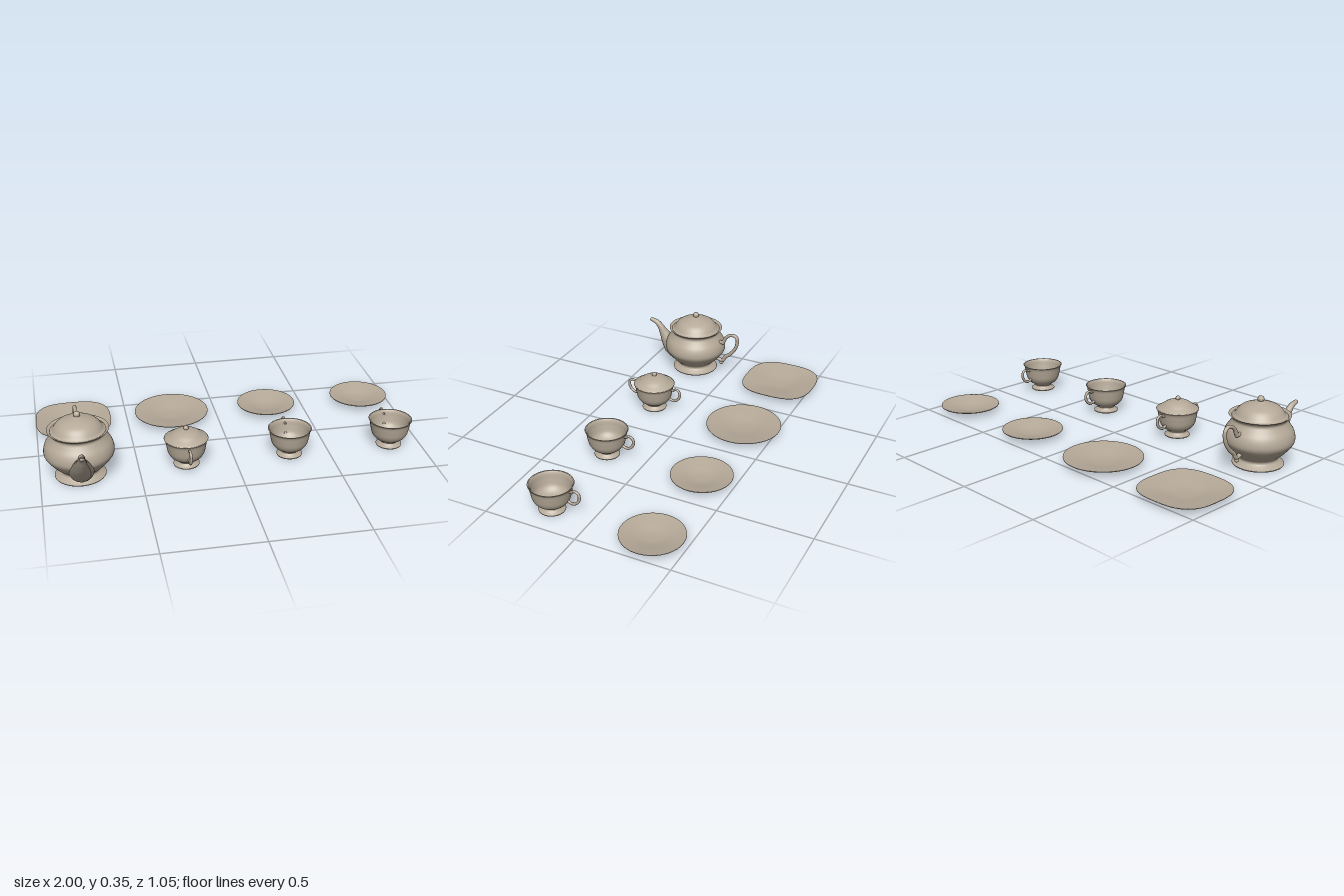
import * as THREE from 'three';

const porcelain = new THREE.MeshStandardMaterial({ color: 0xb5a998, side: THREE.DoubleSide });
porcelain.name = 'porcelain';

function part(name, geometry) {
  const mesh = new THREE.Mesh(geometry, porcelain);
  mesh.name = name;
  return mesh;
}

// Turned solid: each run of [radius, y] points is smoothed, corners stay sharp between runs
function turned(runs, sides = 64) {
  const points = [];
  for (const run of runs) {
    const v = run.map(([r, y]) => new THREE.Vector2(r, y));
    const smooth = v.length > 2 ? new THREE.SplineCurve(v).getPoints((v.length - 1) * 6) : v;
    for (const p of smooth) {
      p.x = Math.max(0, p.x);
      if (!points.length || points.at(-1).distanceTo(p) > 1e-5) points.push(p);
    }
  }
  return new THREE.LatheGeometry(points, sides);
}

// Tube along [outward, y] points in the z-y plane, with varying radius
function swept(path, radii, side) {
  const curve = new THREE.CatmullRomCurve3(path.map(([u, y]) => new THREE.Vector3(0, y, side * u)));
  const steps = 56, sides = 16;
  const geo = new THREE.TubeGeometry(curve, steps, 1, sides);
  const pos = geo.attributes.position, p = new THREE.Vector3();
  for (let i = 0; i <= steps; i++) {
    const c = curve.getPointAt(i / steps);
    const f = (i / steps) * (radii.length - 1), k = Math.min(Math.floor(f), radii.length - 2);
    const r = THREE.MathUtils.lerp(radii[k], radii[k + 1], f - k);
    for (let j = 0; j <= sides; j++) {
      const n = i * (sides + 1) + j;
      p.fromBufferAttribute(pos, n).sub(c).multiplyScalar(r).add(c);
      pos.setXYZ(n, p.x, p.y, p.z);
    }
  }
  return geo;
}

function bead(name, r, u, y, side = 1) {
  const mesh = part(name, new THREE.SphereGeometry(r, 20, 14));
  mesh.position.set(0, y, side * u);
  return mesh;
}

function teapot() {
  const g = new THREE.Group();
  g.name = 'teapot';
  g.add(part('teapotBody', turned([
    [[0, 0.006], [0.128, 0.006]],
    [[0.128, 0.006], [0.13, 0.012], [0.117, 0.02], [0.1, 0.034], [0.103, 0.05], [0.128, 0.072], [0.153, 0.1],
      [0.174, 0.13], [0.177, 0.158], [0.168, 0.19], [0.148, 0.22], [0.137, 0.24], [0.141, 0.253], [0.155, 0.266]],
    [[0.155, 0.266], [0.14, 0.259]],
    [[0.14, 0.259], [0.13, 0.24], [0.145, 0.215], [0.165, 0.16], [0.12, 0.08], [0, 0.05]],
  ])));
  g.add(part('teapotLid', turned([
    [[0, 0.255], [0.14, 0.259]],
    [[0.14, 0.259], [0.128, 0.266], [0.112, 0.288], [0.09, 0.307], [0.05, 0.323], [0.022, 0.33], [0.011, 0.336], [0, 0.338]],
  ])));
  g.add(bead('teapotKnob', 0.017, 0, 0.344));
  g.add(part('teapotSpout', swept(
    [[0.12, 0.1], [0.155, 0.122], [0.185, 0.15], [0.212, 0.185], [0.235, 0.22], [0.26, 0.243], [0.3, 0.256]],
    [0.066, 0.06, 0.044, 0.028, 0.019, 0.015, 0.011], 1)));
  g.add(part('teapotHandle', swept(
    [[0.15, 0.2], [0.178, 0.205], [0.195, 0.235], [0.215, 0.254], [0.25, 0.26], [0.268, 0.242],
      [0.262, 0.19], [0.23, 0.14], [0.195, 0.11], [0.178, 0.085], [0.14, 0.092]],
    [0.011, 0.011, 0.009, 0.01, 0.01, 0.01, 0.01, 0.011, 0.011, 0.011], -1)));
  g.add(bead('handleCurl', 0.012, 0.171, 0.07, -1), bead('handleThumbRest', 0.012, 0.178, 0.202, -1));
  return g;
}

function bowl(name, handleSides) {
  const g = new THREE.Group();
  g.name = name;
  g.add(part(name + 'Body', turned([
    [[0, 0.006], [0.066, 0.006]],
    [[0.066, 0.006], [0.067, 0.012], [0.056, 0.02], [0.048, 0.03], [0.056, 0.04], [0.078, 0.055],
      [0.094, 0.08], [0.102, 0.115], [0.107, 0.142], [0.114, 0.156]],
    [[0.114, 0.156], [0.109, 0.156]],
    [[0.109, 0.156], [0.102, 0.142], [0.096, 0.112], [0.086, 0.078], [0.062, 0.055], [0.03, 0.046], [0, 0.045]],
  ])));
  for (const side of handleSides) {
    g.add(part('handle', swept(
      [[0.095, 0.132], [0.115, 0.14], [0.138, 0.146], [0.154, 0.134], [0.157, 0.11], [0.145, 0.086], [0.122, 0.072], [0.085, 0.082]],
      [0.006, 0.006, 0.007, 0.008, 0.007, 0.007, 0.007], side)));
    g.add(bead('handleCurl', 0.008, 0.118, 0.072, side), bead('handleScroll', 0.008, 0.118, 0.139, side));
  }
  return g;
}

function sugarBowl() {
  const g = bowl('sugarBowl', [1, -1]);
  g.add(part('sugarLid', turned([
    [[0, 0.152], [0.112, 0.156]],
    [[0.112, 0.156], [0.104, 0.162], [0.085, 0.174], [0.065, 0.188], [0.042, 0.198], [0.018, 0.203], [0.008, 0.207], [0, 0.208]],
  ])));
  g.add(bead('sugarKnob', 0.013, 0, 0.212));
  return g;
}

// Shallow plate; a power above 2 squares off the outline
function plate(name, radius, power = 2) {
  const geo = turned([
    [[0, 0.006], [radius * 0.28, 0.006]],
    [[radius * 0.28, 0.006], [radius, 0.037]],
    [[radius, 0.037], [radius, 0.041]],
    [[radius, 0.041], [radius * 0.66, 0.029], [radius * 0.28, 0.015], [0, 0.013]],
  ], 72);
  if (power !== 2) {
    const pos = geo.attributes.position;
    for (let i = 0; i < pos.count; i++) {
      const x = pos.getX(i), z = pos.getZ(i), r = Math.hypot(x, z);
      if (r < 1e-6) continue;
      const k = (Math.abs(x / r) ** power + Math.abs(z / r) ** power) ** (-1 / power);
      pos.setXYZ(i, x * k, pos.getY(i), z * k);
    }
    geo.computeVertexNormals();
  }
  return part(name, geo);
}

export function createModel() {
  const model = new THREE.Group();
  model.name = 'teaSet';
  const place = (object, x, z) => {
    object.position.set(x, 0, z);
    model.add(object);
  };
  const front = 0.222, back = -0.325;
  place(teapot(), -0.796, front);
  place(sugarBowl(), -0.253, front);
  place(plate('squarePlate', 0.204, 2.9), -0.796, back);
  place(plate('roundPlate', 0.203), -0.251, back);
  [0.292, 0.838].forEach((x) => {
    place(bowl('cup', [-1]), x, front);
    place(plate('saucer', 0.161), x, back);
  });
  return model;
}
